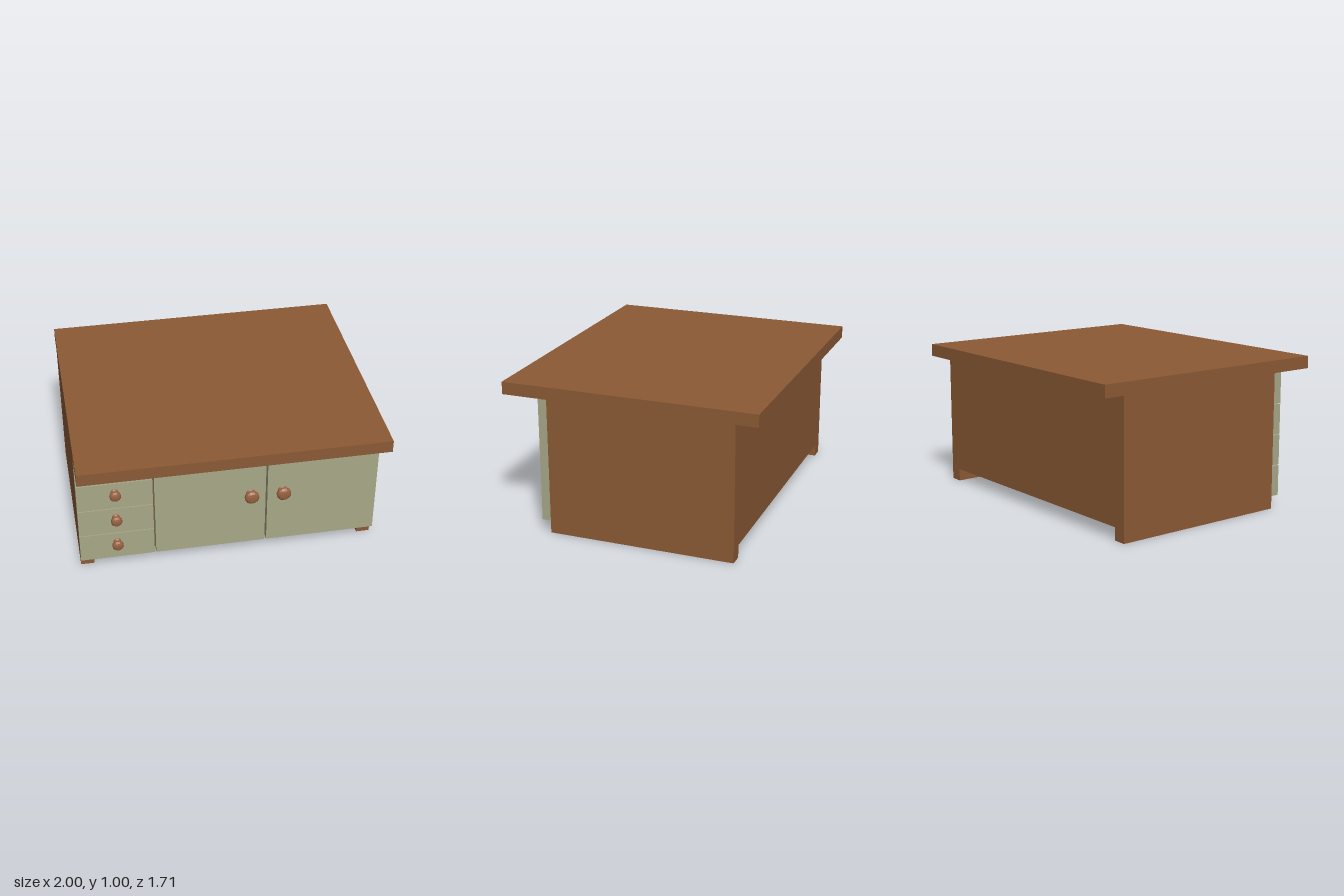
import * as THREE from 'three';

const wood = new THREE.MeshStandardMaterial({ color: 0x8b5a35 });
const paint = new THREE.MeshStandardMaterial({ color: 0xa8a888 });
const knobWood = new THREE.MeshStandardMaterial({ color: 0x966040, flatShading: true });

// Box given by its min and max on each axis
function box(name, material, [x0, x1], [y0, y1], [z0, z1]) {
  const mesh = new THREE.Mesh(new THREE.BoxGeometry(x1 - x0, y1 - y0, z1 - z0), material);
  mesh.position.set((x0 + x1) / 2, (y0 + y1) / 2, (z0 + z1) / 2);
  mesh.name = name;
  return mesh;
}

// Turned knob: flared foot, thin neck, chamfered head
function knob(name, r, x, y, z) {
  const profile = [
    [0, 0], [0.68, 0], [0.62, 0.004], [0.36, 0.012], [0.36, 0.022], [0.7, 0.027],
    [1, 0.035], [1, 0.05], [0.75, 0.063], [0.4, 0.067], [0, 0.068],
  ].map(([a, b]) => new THREE.Vector2(a * r, b));
  const mesh = new THREE.Mesh(new THREE.LatheGeometry(profile, 16), knobWood);
  mesh.rotation.x = Math.PI / 2;
  mesh.position.set(x, y, z);
  mesh.name = name;
  return mesh;
}

export function createModel() {
  const group = new THREE.Group();
  const bottom = 0.085, under = 0.917, back = -0.71, face = 0.545, front = 0.604;

  // Overhanging top
  group.add(box('top', wood, [-1, 1], [under, 1], [-0.855, 0.855]));

  // Carcass between two side panels that reach the floor
  group.add(box('carcass', wood, [-0.91, 0.91], [bottom, under], [back, face]));
  group.add(box('leftSide', wood, [0.91, 1], [0, under], [back, face]));
  group.add(box('rightSide', wood, [-1, -0.91], [0, under], [back, face]));

  // Column of four drawers
  const pitch = (under - bottom) / 4;
  for (let i = 0; i < 4; i++) {
    const y0 = bottom + i * pitch + (i > 0 ? 0.003 : 0);
    const y1 = bottom + (i + 1) * pitch - (i < 3 ? 0.003 : 0);
    group.add(box('drawerFront', paint, [-1, -0.505], [y0, y1], [face, front]));
    group.add(knob('drawerKnob', 0.037, -0.752, 0.22 + i * 0.2085, front));
  }

  // Two doors with their larger knobs
  group.add(box('wideDoor', paint, [-0.495, 0.244], [bottom, under], [face, front]));
  group.add(box('narrowDoor', paint, [0.256, 1], [bottom, under], [face, front]));
  for (const x of [0.143, 0.357]) group.add(knob('doorKnob', 0.048, x, 0.5, front));

  return group;
}
